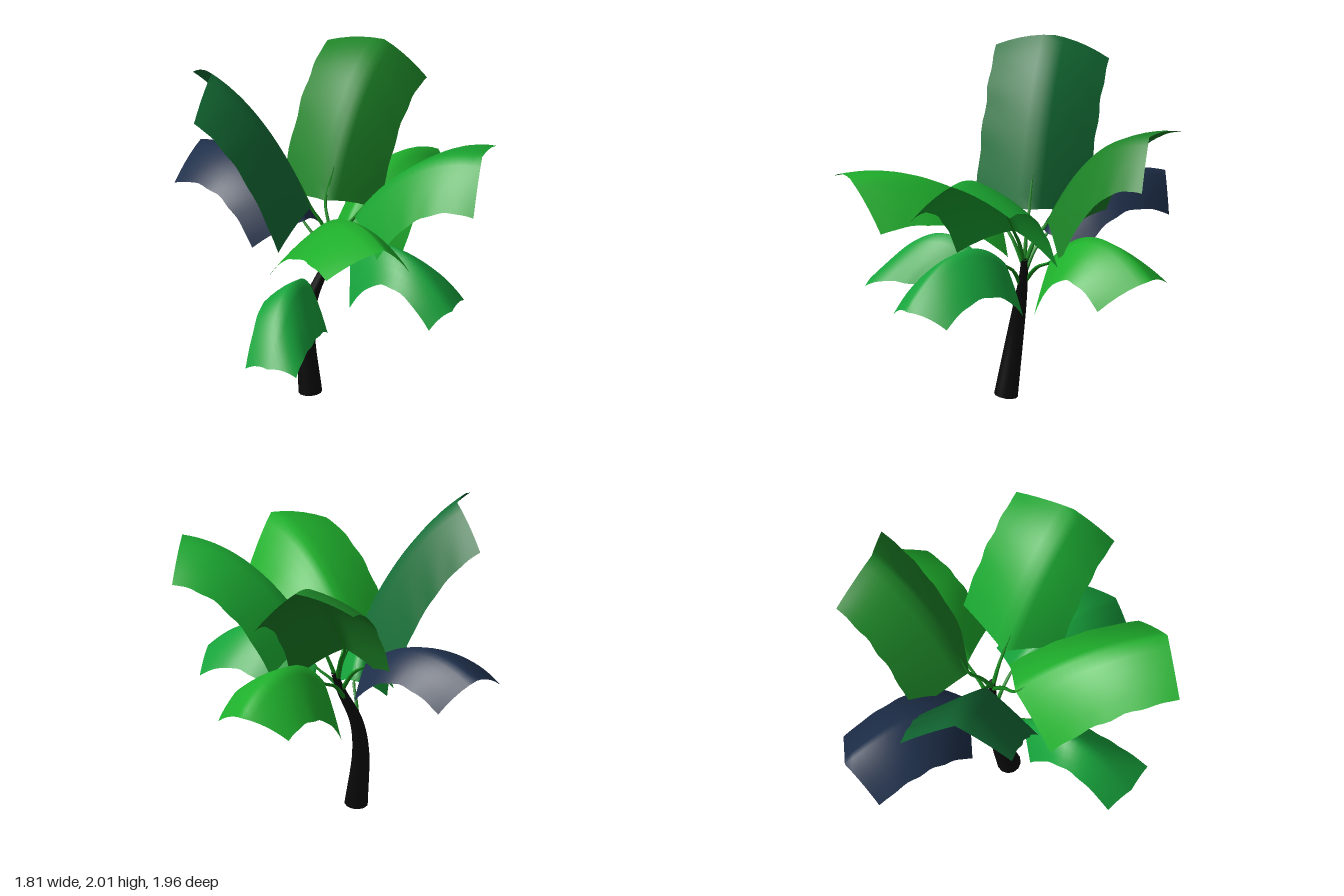
import * as THREE from 'three';

const V = (p) => new THREE.Vector3(...p);

// Round tube along a curve, its radius narrowing from r0 to r1
function taperedTube(curve, r0, r1, segments, sides) {
  const geo = new THREE.TubeGeometry(curve, segments, 1, sides);
  const pos = geo.attributes.position, p = new THREE.Vector3();
  for (let i = 0; i < pos.count; i++) {
    const t = Math.floor(i / (sides + 1)) / segments;
    const c = curve.getPointAt(t);
    p.fromBufferAttribute(pos, i).sub(c).multiplyScalar(r0 + (r1 - r0) * t).add(c);
    pos.setXYZ(i, p.x, p.y, p.z);
  }
  geo.computeVertexNormals();
  return geo;
}

// Midrib from start to tip, arched upward by lift
function midrib({ from, to, lift }) {
  const a = V(from), b = V(to);
  const control = a.clone().lerp(b, 0.44);
  control.y += lift * 2;
  return new THREE.QuadraticBezierCurve3(a, control, b);
}

// Roof-shaped blade: two wings hang from the midrib
function bladeGeometry(leaf, rib, seed) {
  const rows = 18, half = 5, cols = half * 2;
  const ahead = rib.v2.clone().sub(rib.v0).setY(0).normalize();
  const side = new THREE.Vector3(ahead.z, 0, -ahead.x);
  const lerp = THREE.MathUtils.lerp;
  const { sag = 0 } = leaf;
  const pos = [], idx = [];
  for (let i = 0; i <= rows; i++) {
    const t = i / rows, c = rib.getPoint(t), belly = Math.sin(Math.PI * t);
    for (let j = 0; j <= cols; j++) {
      const s = Math.abs(j - half) / half;
      const hand = j < half ? 1 : -1;
      // slightly uneven outer edge
      const wave = 1 + 0.018 * Math.sin(i * 1.3 + seed * 2.3 + j) * belly * s;
      const p = c.clone()
        .addScaledVector(side, hand * leaf.width[j < half ? 0 : 1] * s * wave)
        .addScaledVector(ahead, (lerp(...leaf.sweep, t) + hand * leaf.skew) * s);
      p.y += (hand * leaf.roll * t - lerp(...leaf.drop, t) * wave) * s + 0.08 * s * (1 - s);
      if (j < half) p.y -= sag * belly * s;
      pos.push(p.x, p.y, p.z);
      if (i < rows && j < cols) {
        const k = i * (cols + 1) + j, n = k + cols + 1;
        idx.push(k, k + 1, n, k + 1, n + 1, n);
      }
    }
  }
  const geo = new THREE.BufferGeometry();
  geo.setAttribute('position', new THREE.Float32BufferAttribute(pos, 3));
  geo.setIndex(idx);
  geo.computeVertexNormals();
  return geo;
}

// width: left and right wing; drop and sweep: of the edges at start and tip;
// sag: how far the left wing hangs lower halfway
const LEAVES = [
  { name: 'backLeaf', color: 0x1e2f4a, from: [-0.13, 1.0, -0.15], to: [-0.27, 1.18, -0.98], lift: 0.155,
    width: [0.27, 0.2], drop: [0.13, 0.165], sweep: [0.12, -0.09], roll: 0.015, skew: 0.03 },
  { name: 'backLeftTallLeaf', color: 0x1c8226, from: [-0.02, 1.12, -0.1], to: [0.62, 1.81, -0.43], lift: 0.17,
    width: [0.35, 0.22], drop: [0.13, 0.17], sweep: [0.18, 0.04], roll: 0.08, skew: -0.067 },
  { name: 'backRightTallLeaf', color: 0x146e36, from: [-0.15, 1.15, -0.05], to: [-0.58, 2, -0.43], lift: 0.13,
    width: [0.36, 0.285], drop: [0.1, 0.145], sweep: [0.19, 0.1], roll: 0.025, skew: -0.04 },
  { name: 'leftLowLeaf', color: 0x1fb02c, from: [0.1, 0.93, -0.06], to: [0.9, 1.05, -0.29], lift: 0.2, sag: 0.08,
    width: [0.25, 0.265], drop: [0.22, 0.14], sweep: [0.17, -0.13], roll: 0.02, skew: 0.02 },
  { name: 'frontLeftTallLeaf', color: 0x1aa530, from: [0.02, 1.12, 0.13], to: [0.47, 1.67, 0.76], lift: 0.15,
    width: [0.36, 0.25], drop: [0.105, 0.2], sweep: [0.19, 0], roll: 0.06, skew: -0.035 },
  { name: 'frontRightTallLeaf', color: 0x1fb02c, from: [-0.22, 1.1, 0.1], to: [-0.37, 1.45, 0.98], lift: 0.125,
    width: [0.22, 0.355], drop: [0.15, 0.195], sweep: [0.07, -0.065], roll: -0.075, skew: -0.05 },
  { name: 'rightLowLeaf', color: 0x17a43c, from: [-0.27, 0.74, 0.12], to: [-0.87, 0.61, 0.54], lift: 0.245, sag: 0.18,
    width: [0.175, 0.155], drop: [0.15, 0.04], sweep: [0.18, -0.03], roll: 0.02, skew: 0.03 },
  { name: 'frontLowLeaf', color: 0x17a43c, from: [-0.03, 0.9, 0.16], to: [0.17, 0.81, 0.89], lift: 0.21, sag: 0.06,
    width: [0.227, 0.16], drop: [0.235, 0.07], sweep: [0.1, -0.07], roll: 0, skew: -0.03 },
];

export function createModel() {
  const plant = new THREE.Group();
  plant.name = 'palmPlant';

  // Bent trunk with capped ends
  const trunkMat = new THREE.MeshStandardMaterial({ color: 0x0a0a0a });
  const trunkCurve = new THREE.CatmullRomCurve3(
    [[-0.233, 0, 0.055], [-0.222, 0.36, 0.002], [-0.18, 0.57, -0.008], [-0.09, 0.78, 0.015], [-0.05, 0.9, 0.03]].map(V));
  const trunk = new THREE.Group();
  trunk.name = 'trunk';
  const bark = new THREE.Mesh(taperedTube(trunkCurve, 0.068, 0.018, 24, 12), trunkMat);
  bark.name = 'trunkBark';
  trunk.add(bark);
  [['trunkBaseCap', 0, 0.068, Math.PI / 2], ['trunkTopCap', 1, 0.018, -Math.PI / 2]].forEach(([name, t, r, tilt]) => {
    const cap = new THREE.Mesh(new THREE.CircleGeometry(r, 12), trunkMat);
    cap.name = name;
    cap.position.copy(trunkCurve.getPointAt(t));
    cap.rotation.x = tilt;
    trunk.add(cap);
  });
  plant.add(trunk);

  // Each leaf: a thin stem from the trunk and an arched blade
  const stemMat = new THREE.MeshStandardMaterial({ color: 0x14861a });
  LEAVES.forEach((leaf, i) => {
    const group = new THREE.Group();
    group.name = leaf.name;
    const rib = midrib(leaf);
    const bladeMat = new THREE.MeshStandardMaterial({ color: leaf.color, side: THREE.DoubleSide });
    const blade = new THREE.Mesh(bladeGeometry(leaf, rib, i), bladeMat);
    blade.name = 'blade';

    // Higher leaves leave the trunk higher up
    const root = trunkCurve.getPoint(Math.min(0.95, rib.v0.y * 1.25 - 0.5));
    const bend = root.clone().lerp(rib.v0, 0.5);
    bend.y += 0.03;
    const under = [0, 0.12, 0.25].map((t) => rib.getPoint(t).add(new THREE.Vector3(0, -0.012, 0)));
    const stemCurve = new THREE.CatmullRomCurve3([root, bend, ...under]);
    const stem = new THREE.Mesh(taperedTube(stemCurve, 0.014, 0.003, 16, 6), stemMat);
    stem.name = 'stem';
    group.add(blade, stem);
    plant.add(group);
  });
  return plant;
}
